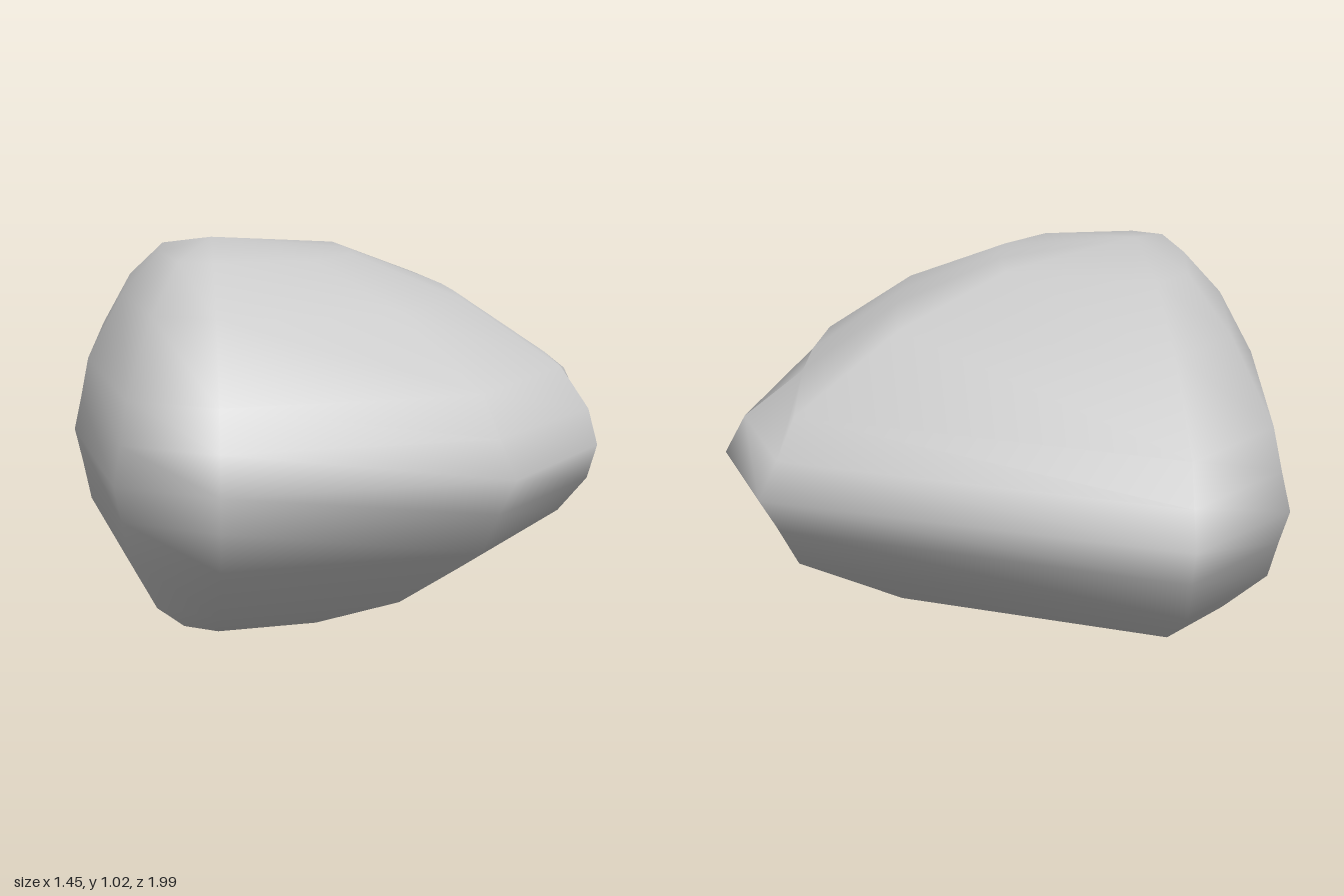
import * as THREE from 'three';
import { mergeVertices } from 'three/addons/utils/BufferGeometryUtils.js';

const MID = 0.51;
const CROWN = [-0.36, 0.13];

// Each column: widest outline point [x, z], then shoulder point [x, z]
const COLUMNS = [
  [-0.48, -1.00, -0.47, -0.92],
  [0.56, -0.68, 0.48, -0.60],
  [0.72, -0.28, 0.53, -0.14], // notch starts here
  [0.59, 0.10, 0.54, 0.10],
  [0.61, 0.46, 0.53, 0.37], // notch ends here
  [0.33, 0.86, 0.26, 0.79],
  [-0.36, 0.99, -0.36, 0.92],
  [-0.60, 0.85, -0.57, 0.79],
  [-0.73, 0.12, -0.69, 0.12],
  [-0.72, -0.70, -0.68, -0.63],
];
const inNotch = (c) => c >= 2 && c <= 4;

// Half-height levels: distance from the middle, and shrink towards the crown
const LEVELS = [
  { h: 0, shrink: 1 },
  { h: 0.09, shrink: 1 },
  { h: 0.19, shrink: 1 },
  { h: 0.36, shrink: 0.72 },
  { h: 0.47, shrink: 0.41 },
  { h: 0.51, shrink: 0 },
];
const TOP = LEVELS.length - 1;

// Point on the surface; negative rows mirror the upper half downwards
function pointAt(row, col) {
  const c = col % COLUMNS.length;
  const level = Math.abs(row);
  const [mx, mz, sx, sz] = COLUMNS[c];
  const { h, shrink } = LEVELS[level];
  const blend = level === 0 ? 0 : level === 1 ? (inNotch(c) ? 0.25 : 0.5) : 1;
  const x = THREE.MathUtils.lerp(mx, sx, blend);
  const z = THREE.MathUtils.lerp(mz, sz, blend);
  return [
    THREE.MathUtils.lerp(CROWN[0], x, shrink),
    MID + Math.sign(row) * h,
    THREE.MathUtils.lerp(CROWN[1], z, shrink),
  ];
}

// Skin made of the grid cells accepted by the filter, with smooth normals
function buildSkin(name, accept) {
  const positions = [];
  for (let r = -TOP; r < TOP; r++) {
    for (let c = 0; c < COLUMNS.length; c++) {
      if (!accept(r, c)) continue;
      const a = pointAt(r, c + 1), b = pointAt(r, c);
      const d = pointAt(r + 1, c), e = pointAt(r + 1, c + 1);
      if (r > -TOP) positions.push(...a, ...b, ...(r + 1 < TOP ? e : d));
      if (r + 1 < TOP) positions.push(...b, ...d, ...e);
    }
  }
  let geometry = new THREE.BufferGeometry();
  geometry.setAttribute('position', new THREE.Float32BufferAttribute(positions, 3));
  geometry = mergeVertices(geometry, 1e-4);
  geometry.computeVertexNormals();
  const mesh = new THREE.Mesh(
    geometry,
    new THREE.MeshStandardMaterial({ color: 0xcccccc, side: THREE.DoubleSide })
  );
  mesh.name = name;
  return mesh;
}

export function createModel() {
  const group = new THREE.Group();
  group.name = 'stone';
  // The chipped hollow on the right flank has its own normals, giving a sharp rim
  const chip = (r, c) => r >= -2 && r < 2 && (c === 2 || c === 3);
  group.add(buildSkin('stoneBody', (r, c) => !chip(r, c)));
  group.add(buildSkin('chippedFace', chip));
  return group;
}
